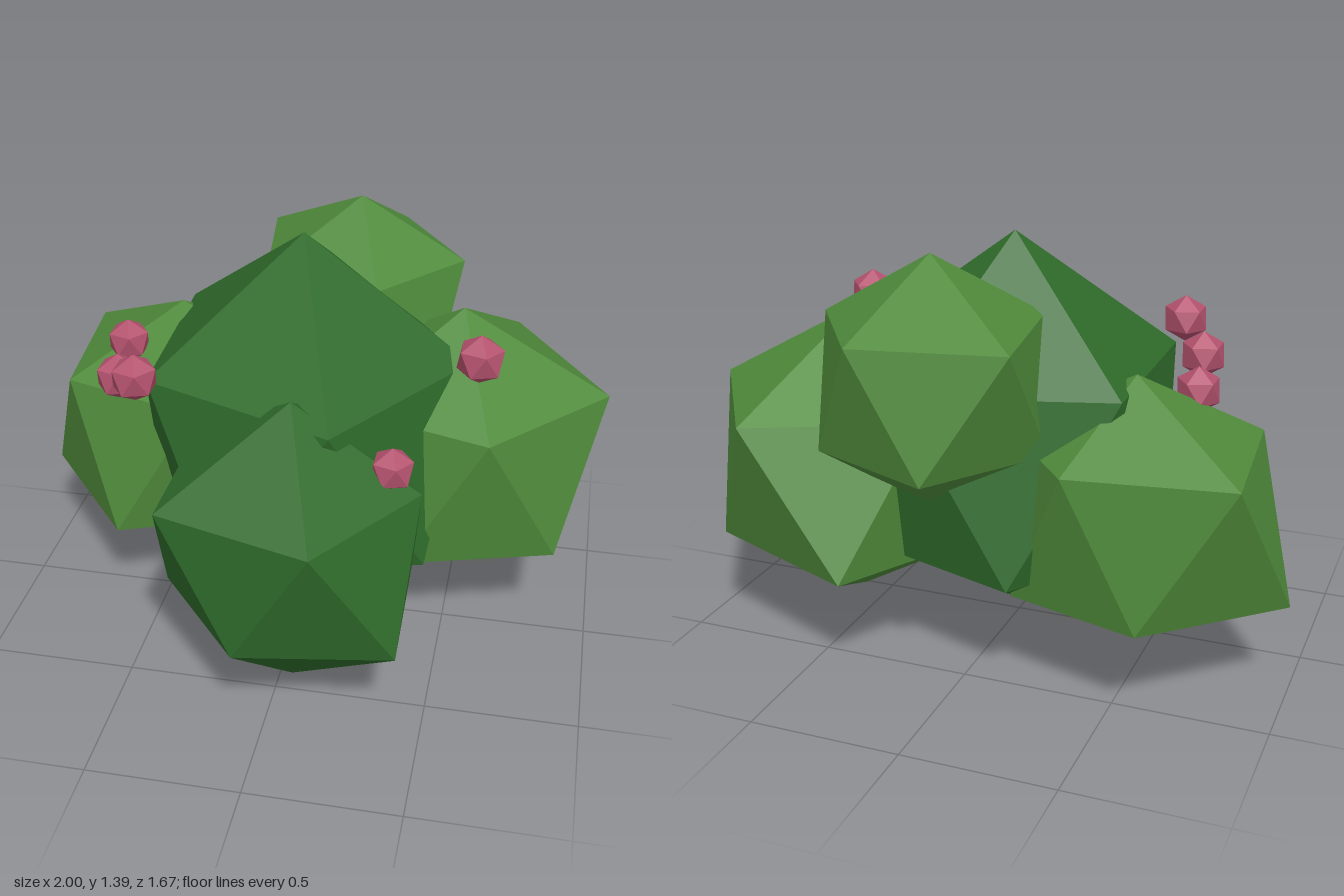
import * as THREE from 'three';

const mat = (name, color) => {
  const m = new THREE.MeshStandardMaterial({ color });
  m.name = name;
  return m;
};

// Pole-up icosahedron with its own radius for each ring corner.
// c: centre, h: half height, upY/lowY: ring heights, up/low: five ring radii each
function clump({ c, h, upY, lowY, up, low }) {
  const ring = (radii, y, start) => radii.map((r, i) => {
    const a = (start + i * 72) * Math.PI / 180;
    return [c[0] + r * Math.cos(a), y, c[2] + r * Math.sin(a)];
  });
  const top = [c[0], c[1] + h, c[2]];
  const bottom = [c[0], c[1] - h, c[2]];
  const u = ring(up, upY, 0);
  const l = ring(low, lowY, 36);
  const pos = [];
  for (let i = 0; i < 5; i++) {
    const j = (i + 1) % 5;
    pos.push(
      ...top, ...u[j], ...u[i],
      ...u[i], ...u[j], ...l[i],
      ...u[j], ...l[j], ...l[i],
      ...bottom, ...l[i], ...l[j],
    );
  }
  const g = new THREE.BufferGeometry();
  g.setAttribute('position', new THREE.Float32BufferAttribute(pos, 3));
  g.computeVertexNormals(); // unshared corners give flat facets
  return g;
}

export function createModel() {
  const bush = new THREE.Group();
  bush.name = 'berryBush';
  const darkLeaf = mat('darkLeaf', 0x2f6b2b);
  const lightLeaf = mat('lightLeaf', 0x4f8a3b);
  const berryPink = mat('berryPink', 0xb4526e);

  const add = (name, geometry, material) => {
    const m = new THREE.Mesh(geometry, material);
    m.name = name;
    bush.add(m);
  };

  // Foliage
  add('middleFoliage', clump({
    c: [-0.02, 0.745, -0.09], h: 0.645, upY: 0.975, lowY: 0.39,
    up: [0.56, 0.61, 0.56, 0.58, 0.56], low: [0.58, 0.56, 0.52, 0.56, 0.56],
  }), darkLeaf);
  add('frontFoliage', clump({
    c: [0.04, 0.528, 0.42], h: 0.525, upY: 0.772, lowY: 0.34,
    up: [0.41, 0.435, 0.457, 0.45, 0.45], low: [0.47, 0.38, 0.42, 0.45, 0.45],
  }), darkLeaf);
  add('leftFoliage', clump({
    c: [0.5, 0.615, -0.2], h: 0.505, upY: 0.84, lowY: 0.36,
    up: [0.5, 0.435, 0.45, 0.45, 0.535], low: [0.455, 0.44, 0.45, 0.54, 0.475],
  }), lightLeaf);
  add('rightFoliage', clump({
    c: [-0.49, 0.585, -0.28], h: 0.435, upY: 0.8, lowY: 0.325,
    up: [0.43, 0.43, 0.43, 0.49, 0.39], low: [0.43, 0.47, 0.51, 0.38, 0.4],
  }), lightLeaf);
  add('backFoliage', clump({
    c: [0.11, 0.975, -0.46], h: 0.41, upY: 1.175, lowY: 0.79,
    up: [0.36, 0.33, 0.36, 0.44, 0.375], low: [0.36, 0.36, 0.38, 0.4, 0.36],
  }), lightLeaf);

  // Berries: x, y, z, radius
  [
    [0.58, 1.085, 0.09, 0.083],
    [0.355, 0.85, 0.415, 0.074],
    [-0.48, 1.035, 0.33, 0.08],
    [-0.58, 0.957, 0.19, 0.08],
    [-0.64, 0.935, -0.11, 0.077],
  ].forEach(([x, y, z, r], i) => {
    const k = r * Math.sqrt(0.2);
    const ring = Array(5).fill(2 * k);
    add(`berry${i + 1}`, clump({
      c: [x, y, z], h: r, upY: y + k, lowY: y - k, up: ring, low: ring,
    }), berryPink);
  });

  return bush;
}
